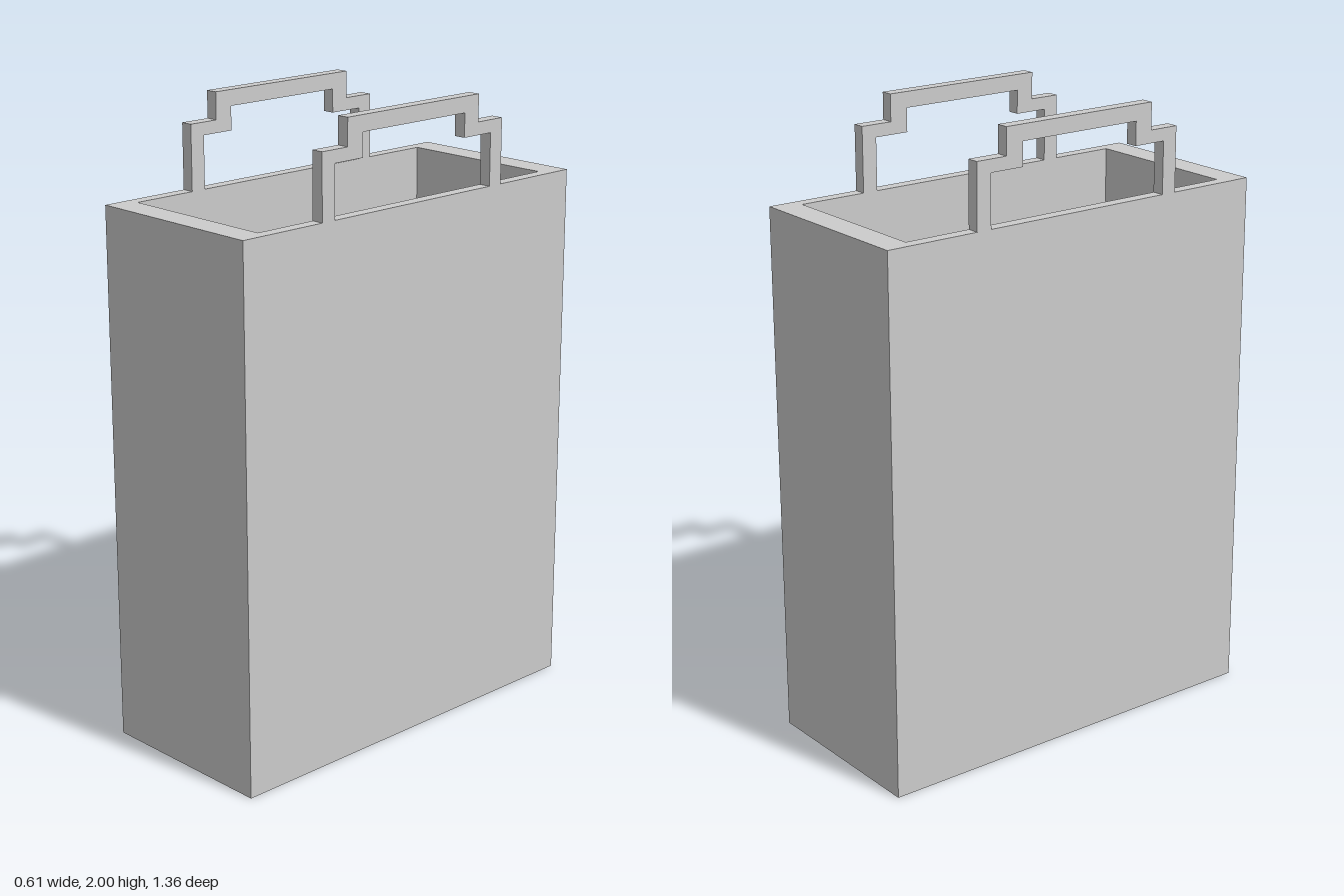
import * as THREE from 'three';

const W = 0.305, D = 0.68, H = 1.71;   // half width, half depth, rim height
const INNER_W = 0.265, INNER_D = 0.59; // half size of the opening
const FLOOR = 0.04;

const rect = (PathType, w, d) => new PathType([
  [-w, -d], [w, -d], [w, d], [-w, d],
].map(([x, y]) => new THREE.Vector2(x, y)));

export function createModel() {
  const group = new THREE.Group();
  const material = new THREE.MeshStandardMaterial({ color: 0xcccccc, flatShading: true });
  const add = (name, geometry) => {
    const mesh = new THREE.Mesh(geometry, material);
    mesh.name = name;
    group.add(mesh);
    return mesh;
  };

  // Bag floor
  add('bagFloor', new THREE.BoxGeometry(2 * W, FLOOR, 2 * D)).position.y = FLOOR / 2;

  // Four thick walls, open at the top
  const ring = rect(THREE.Shape, W, D);
  ring.holes.push(rect(THREE.Path, INNER_W, INNER_D));
  const walls = new THREE.ExtrudeGeometry(ring, { depth: H - FLOOR, bevelEnabled: false });
  walls.rotateX(-Math.PI / 2);
  add('bagWalls', walls).position.y = FLOOR;

  // Stepped handle outline as (z, y), standing on the long rims
  const outline = new THREE.Shape([
    [0.38, H], [0.38, 1.915], [0.28, 1.915], [0.28, 2],
    [-0.265, 2], [-0.265, 1.915], [-0.37, 1.915], [-0.37, H],
    [-0.32, H], [-0.32, 1.875], [-0.205, 1.875], [-0.205, 1.95],
    [0.22, 1.95], [0.22, 1.875], [0.33, 1.875], [0.33, H],
  ].map(([z, y]) => new THREE.Vector2(z, y)));
  const handle = new THREE.ExtrudeGeometry(outline, { depth: W - INNER_W, bevelEnabled: false });
  handle.rotateY(-Math.PI / 2);
  add('leftHandle', handle).position.x = W;
  add('rightHandle', handle).position.x = -INNER_W;

  return group;
}
